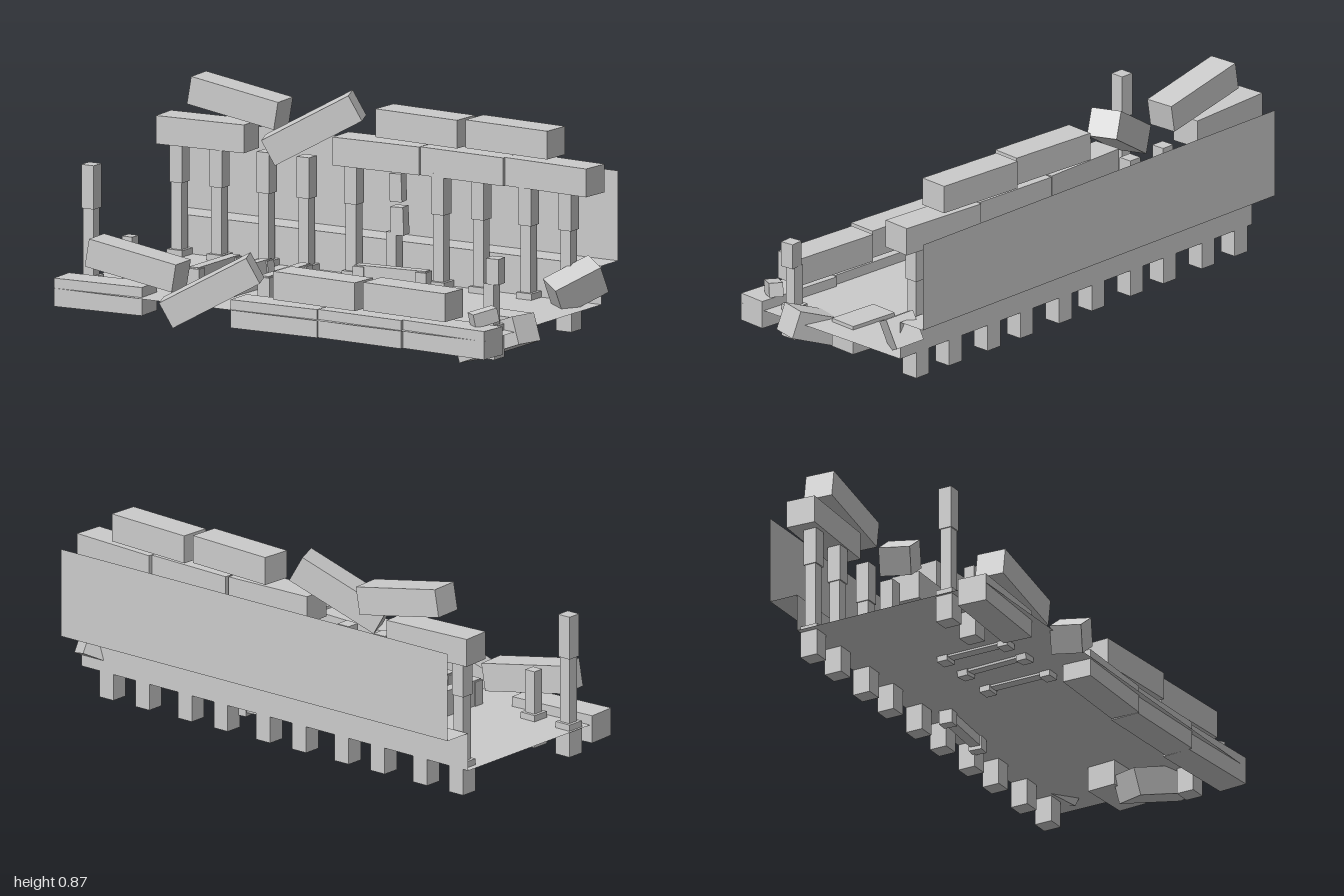
import * as THREE from 'three';

const mat = new THREE.MeshStandardMaterial({ color: 0xcccccc, flatShading: true });
const thin = new THREE.MeshStandardMaterial({ color: 0xcccccc, flatShading: true, side: THREE.DoubleSide });

export function createModel() {
  const model = new THREE.Group();

  function box(parent, name, size, pos, rot = [0, 0, 0]) {
    const m = new THREE.Mesh(new THREE.BoxGeometry(...size), mat);
    m.name = name;
    m.position.set(...pos);
    m.rotation.set(...rot);
    parent.add(m);
    return m;
  }

  function plane(name, w, h, pos, rx) {
    const m = new THREE.Mesh(new THREE.PlaneGeometry(w, h), thin);
    m.name = name;
    m.position.set(...pos);
    m.rotation.x = rx;
    model.add(m);
  }

  // Thin stepped sheet: floor, riser, ledge and back wall
  plane('floor', 1.935, 0.84, [-0.013, 0.165, 0.01], -Math.PI / 2);
  plane('riser', 1.935, 0.15, [-0.013, 0.24, -0.41], 0);
  plane('ledge', 1.935, 0.12, [-0.013, 0.315, -0.47], -Math.PI / 2);
  plane('backWall', 1.935, 0.35, [-0.013, 0.49, -0.53], 0);

  // Square baluster: foot block, thin shaft, thicker head
  function baluster(name, x, z, top) {
    const g = new THREE.Group();
    g.name = name;
    g.position.set(x, 0, z);
    box(g, 'foot', [0.07, 0.13, 0.072], [0, 0.125, 0]);
    const mid = Math.min(top, 0.45);
    box(g, 'shaft', [0.046, mid - 0.19, 0.046], [0, (mid + 0.19) / 2, 0]);
    if (top > mid) box(g, 'head', [0.056, top - mid, 0.056], [0, (top + mid) / 2, 0]);
    model.add(g);
  }

  // Back row of balusters, in pairs; one is broken off
  for (let i = 0; i < 5; i++) {
    const x = -0.92 + i * 0.3925;
    baluster('backBaluster', x, -0.373, 0.61);
    baluster('backBaluster', x + 0.18, -0.373, i === 2 ? 0.36 : 0.61);
  }
  box(model, 'brokenPiece', [0.055, 0.11, 0.05], [0.07, 0.405, -0.373], [0, 0.1, 0.04]);
  box(model, 'brokenPiece', [0.05, 0.11, 0.05], [0.052, 0.53, -0.39], [0, 0.15, 0.03]);

  // Front row: one whole baluster and two stubs
  baluster('frontBaluster', -0.935, 0.235, 0.62);
  baluster('frontStub', -0.76, 0.235, 0.36);
  baluster('frontStub', 0.865, 0.235, 0.35);
  box(model, 'brokenPiece', [0.055, 0.1, 0.055], [0.882, 0.4, 0.235], [0, 0.1, 0]);

  // Broken stone coping: a row of blocks with loose blocks on top
  const coping = new THREE.Group();
  coping.name = 'backCoping';
  const B = [0.382, 0.11, 0.12];
  for (const [x, y, z, ry, rz] of [
    [-0.808, 0.651, -0.395, 0.06, 0],
    [-0.015, 0.651, -0.395, 0.03, 0],
    [0.372, 0.651, -0.4, -0.04, 0],
    [0.755, 0.651, -0.393, -0.07, 0],
    [-0.665, 0.787, -0.4, 0.06, -0.17],
    [-0.305, 0.727, -0.355, 0.42, 0.5],
    [0.165, 0.775, -0.405, -0.06, 0],
    [0.568, 0.775, -0.408, -0.06, 0],
  ]) box(coping, 'copingBlock', B, [x, y, z], [0, ry, rz]);
  model.add(coping);
  const front = coping.clone();
  front.name = 'frontCoping';
  front.position.set(0.012, -0.502, 0.752);
  model.add(front);

  // Balusters fallen flat on the floor
  function fallen(x, y, z, ry, rz) {
    const g = new THREE.Group();
    g.name = 'fallenBaluster';
    g.position.set(x, y, z);
    g.rotation.set(0, ry, rz);
    box(g, 'shaft', [0.042, 0.11, 0.3], [0, 0, 0]);
    for (const s of [-1, 1]) box(g, 'end', [0.054, 0.12, 0.045], [0, -0.01, s * 0.133]);
    model.add(g);
  }
  fallen(-0.477, 0.212, 0.083, 0, 0);
  fallen(-0.335, 0.212, 0.083, -0.04, 0.08);
  fallen(-0.16, 0.212, 0.083, 0, 0);
  fallen(0.08, 0.18, -0.305, Math.PI / 2 + 0.1, 0);

  // Loose rubble around the collapsed end
  box(model, 'rubbleBlock', [0.11, 0.12, 0.2], [0.88, 0.243, -0.345], [0.5, -0.6, 0]);
  box(model, 'rubbleBlock', [0.215, 0.115, 0.12], [0.752, 0.122, -0.02], [0, -0.06, 0]);
  box(model, 'rubbleBlock', [0.35, 0.11, 0.115], [0.815, 0.112, 0.12], [0, -0.25, 0.35]);
  box(model, 'rubblePiece', [0.055, 0.055, 0.1], [0.885, 0.235, 0.325], [0.25, -0.6, 0.15]);

  return model;
}
